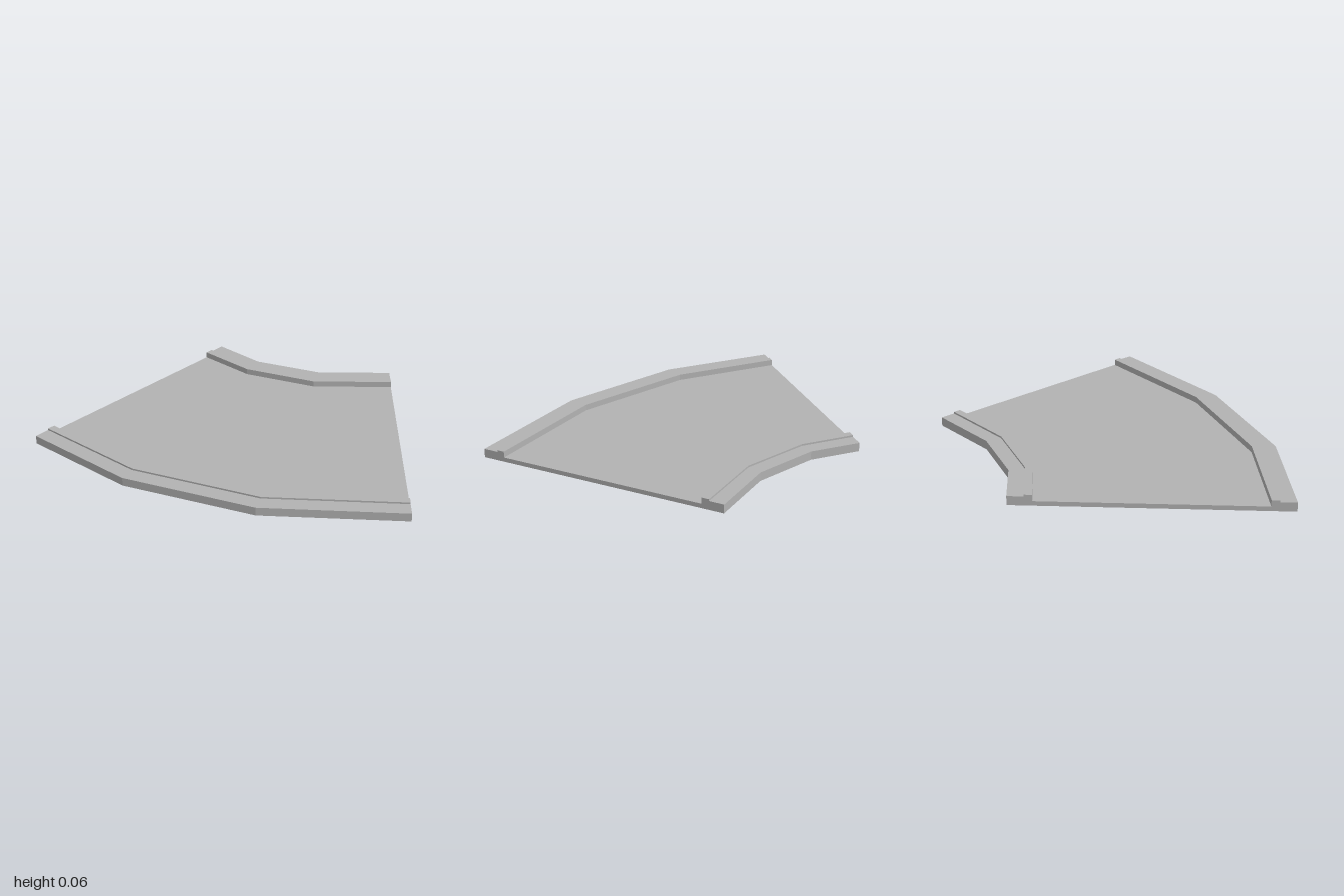
import * as THREE from 'three';

// Plan rails as [x, z], running from the straight back end to the slanted front end
const outerLeft = [[-0.97, -1], [-0.9, -0.33], [-0.59, 0.38], [-0.06, 1]];
const innerLeft = [[-0.84, -1], [-0.77, -0.36], [-0.475, 0.32], [0.03, 0.91]];
const innerRight = [[0.35, -1], [0.38, -0.67], [0.555, -0.28], [0.875, 0.06]];
const outerRight = [[0.48, -1], [0.505, -0.7], [0.67, -0.34], [0.965, -0.03]];

const ROAD = 0.025, KERB = 0.05, LIP = 0.06;

// Sweep a clockwise section of [t, y] points between two rails; t = 0 on railA, 1 on railB.
// Section edges listed in skip touch a neighbouring part and are left open.
function sweep(railA, railB, section, skip) {
  const pos = [];
  const point = (k, [t, y]) => [
    THREE.MathUtils.lerp(railA[k][0], railB[k][0], t), y,
    THREE.MathUtils.lerp(railA[k][1], railB[k][1], t)];
  const tri = (a, b, c) => pos.push(...a, ...b, ...c);
  const last = railA.length - 1;

  for (let k = 0; k < last; k++) {
    section.forEach((p, i) => {
      if (skip.includes(i)) return;
      const q = section[(i + 1) % section.length];
      const a = point(k, p), b = point(k + 1, p), c = point(k + 1, q), d = point(k, q);
      tri(a, b, c);
      tri(a, c, d);
    });
  }

  // End caps
  const flat = section.map(([t, y]) => new THREE.Vector2(t, y));
  for (const face of THREE.ShapeUtils.triangulateShape(flat, [])) {
    const ccw = THREE.ShapeUtils.area(face.map((i) => flat[i])) > 0;
    const [a, b, c] = (ccw ? face : [...face].reverse()).map((i) => section[i]);
    tri(point(last, a), point(last, b), point(last, c));
    tri(point(0, c), point(0, b), point(0, a));
  }

  const geometry = new THREE.BufferGeometry();
  geometry.setAttribute('position', new THREE.Float32BufferAttribute(pos, 3));
  geometry.computeVertexNormals();
  return geometry;
}

export function createModel() {
  const group = new THREE.Group();
  group.name = 'curvedRoadTile';
  const concrete = new THREE.MeshStandardMaterial({ color: 0xb2b2b2 });
  concrete.name = 'concreteGrey';

  const add = (name, geometry) => {
    const mesh = new THREE.Mesh(geometry, concrete);
    mesh.name = name;
    group.add(mesh);
  };

  // Road slab between the kerbs
  add('roadSlab', sweep(innerLeft, innerRight,
    [[0, ROAD], [1, ROAD], [1, 0], [0, 0]], [1, 3]));

  // Kerbs with a raised lip along the road side
  const kerb = [[0, 0], [0, KERB], [0.67, KERB], [0.67, LIP], [1, LIP], [1, ROAD], [1, 0]];
  add('outerKerb', sweep(outerLeft, innerLeft, kerb, [5]));
  const mirrored = kerb.map(([t, y]) => [1 - t, y]).reverse();
  add('innerKerb', sweep(innerRight, outerRight, mirrored, [0]));

  return group;
}
